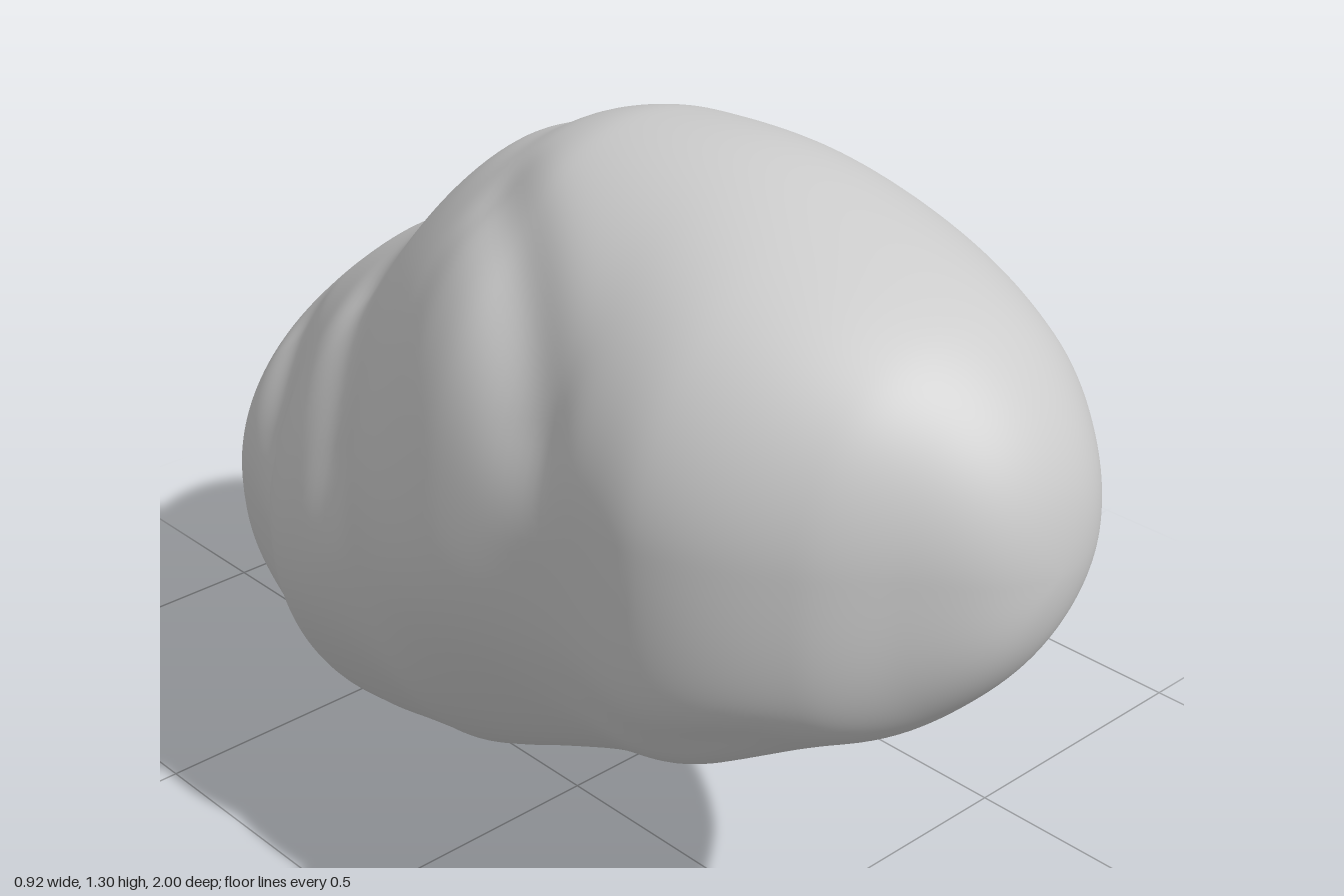
import * as THREE from 'three';
import { mergeVertices } from 'three/addons/utils/BufferGeometryUtils.js';

// Cross-sections from front to back: z, top, bottom, left-most and right-most x
const SECTIONS = [
  [1, 0.87, 0.87, -0.05, -0.05],
  [0.98, 0.99, 0.76, -0.145, 0.05],
  [0.9, 1.11, 0.645, -0.25, 0.155],
  [0.8, 1.185, 0.555, -0.345, 0.235],
  [0.6, 1.26, 0.45, -0.44, 0.325],
  [0.4, 1.3, 0.355, -0.435, 0.355],
  [0.2, 1.3, 0.255, -0.46, 0.37],
  [0.1, 1.275, 0.2, -0.455, 0.375],
  [0, 1.225, 0.145, -0.43, 0.382],
  [-0.1, 1.18, 0.1, -0.395, 0.4],
  [-0.2, 1.115, 0.06, -0.37, 0.43],
  [-0.3, 1.025, 0.03, -0.355, 0.452],
  [-0.4, 0.945, 0.01, -0.325, 0.465],
  [-0.6, 0.83, 0.005, -0.205, 0.45],
  [-0.8, 0.67, 0.06, -0.12, 0.4],
  [-0.9, 0.56, 0.13, -0.035, 0.345],
  [-0.98, 0.435, 0.235, 0.08, 0.265],
  [-1, 0.33, 0.33, 0.18, 0.18],
];
const ANGLES = SECTIONS.map((s) => Math.acos(s[0]));
const { smoothstep, clamp } = THREE.MathUtils;

// Smooth interpolation of one section column along the body
function sample(theta, col) {
  const last = ANGLES.length - 1;
  let i = 0;
  while (i < last - 1 && theta > ANGLES[i + 1]) i++;
  const slope = (k) => {
    const a = Math.max(k - 1, 0), b = Math.min(k + 1, last);
    return (SECTIONS[b][col] - SECTIONS[a][col]) / (ANGLES[b] - ANGLES[a]);
  };
  const h = ANGLES[i + 1] - ANGLES[i], t = (theta - ANGLES[i]) / h;
  const t2 = t * t, t3 = t2 * t;
  return (2 * t3 - 3 * t2 + 1) * SECTIONS[i][col] + (t3 - 2 * t2 + t) * h * slope(i)
    + (3 * t2 - 2 * t3) * SECTIONS[i + 1][col] + (t3 - t2) * h * slope(i + 1);
}

// Dents pressed into one side; paths are [z, y] for the +x side, [z, x] for the top, [x, y] for the front
const DENTS = [
  // hooked crease, its faint tail, and the hollow below it
  { side: 'x', r: 0.05, depth: 0.055, path: [[0.14, 0.54], [0.02, 0.57], [-0.08, 0.51], [-0.2, 0.41], [-0.42, 0.26]] },
  { side: 'x', r: 0.08, depth: 0.025, path: [[-0.42, 0.26], [-0.55, 0.18], [-0.66, 0.17]] },
  { side: 'x', r: 0.11, depth: 0.04, path: [[0.02, 0.46], [-0.2, 0.33], [-0.4, 0.2]] },
  // swellings inside the hollow
  { side: 'x', r: 0.07, depth: -0.02, path: [[0.08, 0.45], [-0.08, 0.37]] },
  { side: 'x', r: 0.06, depth: -0.025, path: [[-0.22, 0.27], [-0.32, 0.2]] },
  // dimple high on the same side
  { side: 'x', r: 0.08, depth: 0.015, path: [[0.42, 1.06], [0.3, 1.05]] },
  // slanting folds on the top
  { side: 'y', r: 0.05, depth: 0.022, path: [[-0.6, -0.2], [-0.74, -0.02]] },
  { side: 'y', r: 0.055, depth: 0.025, path: [[-0.17, -0.38], [-0.4, -0.12]] },
  { side: 'y', r: 0.05, depth: 0.02, path: [[0.38, -0.43], [0.08, -0.23]] },
  // shallow hollow low on the front
  { side: 'z', r: 0.07, depth: 0.022, path: [[-0.34, 0.56], [-0.16, 0.51]] },
];

function pathDistance(u, v, path) {
  let best = Infinity;
  for (let i = 0; i < path.length - 1; i++) {
    const [ax, ay] = path[i];
    const dx = path[i + 1][0] - ax, dy = path[i + 1][1] - ay;
    const t = clamp(((u - ax) * dx + (v - ay) * dy) / (dx * dx + dy * dy), 0, 1);
    best = Math.min(best, Math.hypot(u - ax - dx * t, v - ay - dy * t));
  }
  return best;
}

// Inward push at a surface point; c and s give its direction from the section centre
function dentDepth(x, y, z, c, s) {
  let push = 0;
  for (const { side, r, depth, path } of DENTS) {
    const facing = side === 'x' ? c : side === 'y' ? s : z - 0.35;
    const [u, v] = side === 'x' ? [z, y] : side === 'y' ? [z, x] : [x, y];
    const d = pathDistance(u, v, path) / r;
    push += depth * Math.exp(-d * d) * smoothstep(facing, -0.1, 0.3);
  }
  // faint unevenness on the -x flank
  const flank = smoothstep(-c, 0.2, 0.9) * (1 - z * z);
  return push + flank * 0.004 * Math.sin(9 * z + 5 * y) * Math.cos(11 * y - 4 * z);
}

function bodyGeometry(rings = 160, sides = 160) {
  const positions = [], index = [];
  for (let i = 0; i <= rings; i++) {
    const theta = (i / rings) * Math.PI, z = Math.cos(theta);
    const [top, bottom, xMin, xMax] = [1, 2, 3, 4].map((col) => sample(theta, col));
    const cx = (xMin + xMax) / 2, cy = (top + bottom) / 2;
    const hx = (xMax - xMin) / 2, hy = (top - bottom) / 2;
    // towards the back the ridge shifts to +x and both flanks sag
    const back = smoothstep(-z, -0.1, 0.4), front = smoothstep(z, 0, 0.5);
    const ridgeShift = 0.12 * back, keelShift = -0.1 - 0.12 * front;
    const plusSag = 0.06 - 0.22 * back, minusSag = -0.07 + 0.15 * front;
    // the lower -x quarter is full at both ends and lean in the middle
    const lowFill = -0.05 + 0.11 * smoothstep(z, 0.2, 0.6) + 0.08 * smoothstep(-z, 0.3, 0.7);
    for (let j = 0; j < sides; j++) {
      const a = (j / sides) * Math.PI * 2;
      const c = Math.cos(a), s = Math.sin(a);
      const fill = c < 0 && s < 0 ? 1 + lowFill * 4 * c * c * s * s : 1;
      let x = cx + hx * fill * (c + (s > 0 ? ridgeShift : keelShift) * s * s);
      let y = cy + hy * fill * (s + (c > 0 ? plusSag : minusSag) * c * c);
      const length = Math.hypot(x - cx, y - cy);
      if (length > 1e-4) {
        const k = Math.min(dentDepth(x, y, z, c, s) / length, 0.5);
        x -= (x - cx) * k;
        y -= (y - cy) * k;
      }
      positions.push(x, y, z);
      if (i < rings) {
        const p = i * sides + j, q = i * sides + ((j + 1) % sides);
        index.push(p, p + sides, q, q, p + sides, q + sides);
      }
    }
  }
  const geometry = new THREE.BufferGeometry();
  geometry.setAttribute('position', new THREE.Float32BufferAttribute(positions, 3));
  geometry.setIndex(index);
  const merged = mergeVertices(geometry, 1e-5);
  merged.computeVertexNormals();
  return merged;
}

export function createModel() {
  const group = new THREE.Group();
  group.name = 'lumpyStone';
  const body = new THREE.Mesh(bodyGeometry(), new THREE.MeshStandardMaterial({ color: 0xcccccc }));
  body.name = 'body';
  group.add(body);
  return group;
}
